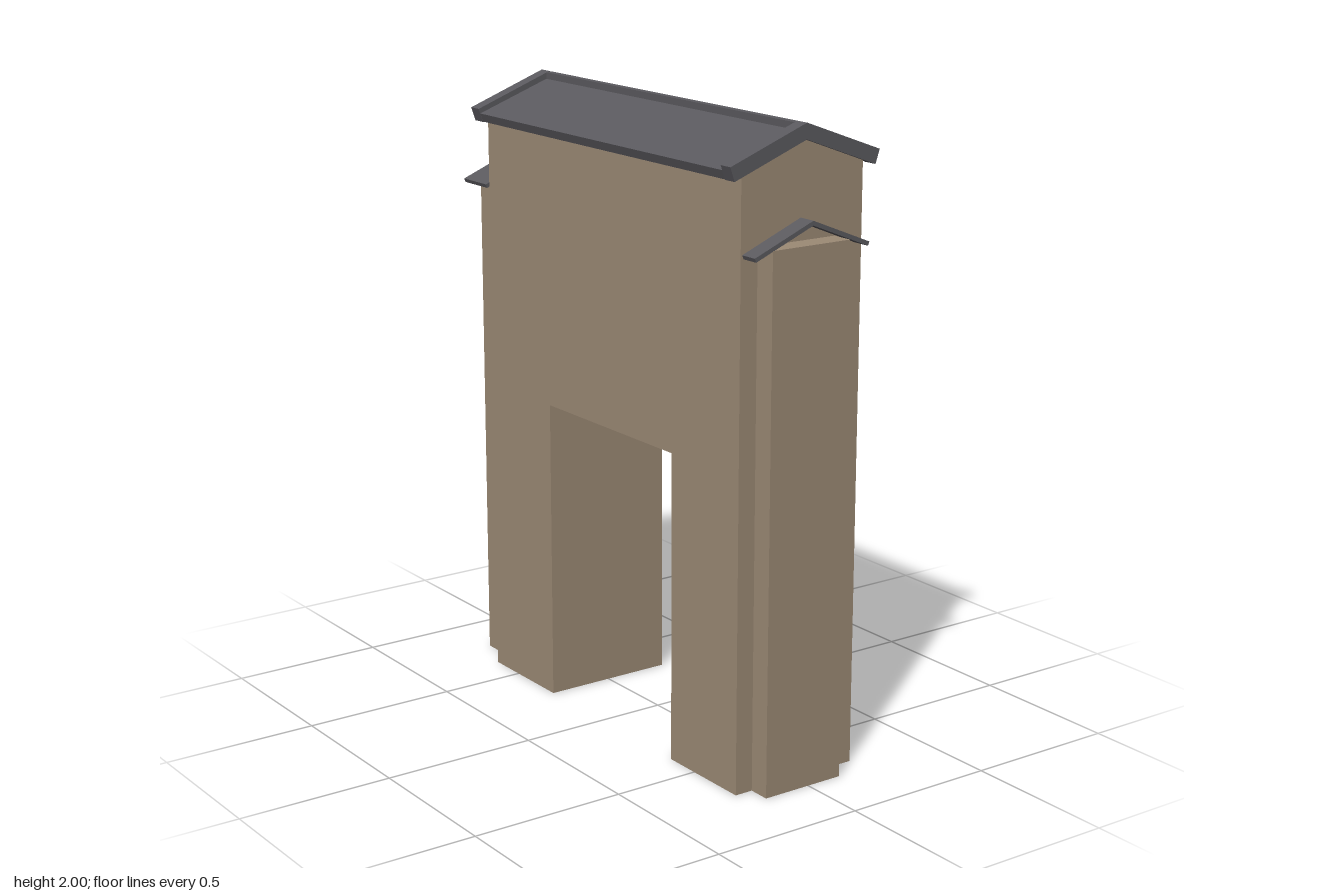
import * as THREE from 'three';

export function createModel() {
  const group = new THREE.Group();
  const plaster = new THREE.MeshStandardMaterial({ color: 0x9c8a75 });
  plaster.name = 'tan plaster';
  const slate = new THREE.MeshStandardMaterial({ color: 0x5b5a5f });
  slate.name = 'grey slate';

  const add = (name, geometry, material) => {
    const mesh = new THREE.Mesh(geometry, material);
    mesh.name = name;
    group.add(mesh);
  };

  // Box given by its lower and upper bounds
  const box = (name, material, [x0, x1], [y0, y1], [z0, z1]) => {
    const g = new THREE.BoxGeometry(x1 - x0, y1 - y0, z1 - z0);
    g.translate((x0 + x1) / 2, (y0 + y1) / 2, (z0 + z1) / 2);
    add(name, g, material);
  };

  // Cross-section of [z, y] points extruded along x
  const alongX = (name, material, [x0, x1], points) => {
    const shape = new THREE.Shape(points.map(([z, y]) => new THREE.Vector2(-z, y)));
    const g = new THREE.ExtrudeGeometry(shape, { depth: x1 - x0, bevelEnabled: false });
    g.rotateY(Math.PI / 2);
    // rotation maps shape x to -z and depth to +x
    g.translate(x0, 0, 0);
    add(name, g, material);
  };

  // Folded roof slab: ridge and eave points of the top and the underside
  const roof = (name, range, zc, [ridgeTop, ridgeLow], [topZ, topY], [lowZ, lowY]) =>
    alongX(name, slate, range, [
      [zc + lowZ, lowY], [zc + topZ, topY], [zc, ridgeTop],
      [zc - topZ, topY], [zc - lowZ, lowY], [zc, ridgeLow],
    ]);

  // Gatehouse: two piers and a gabled block over the opening
  const gable = (y0) => [[-0.22, y0], [0.22, y0], [0.22, 1.872], [0, 1.954], [-0.22, 1.872]];
  alongX('rightPier', plaster, [-0.63, -0.285], gable(0));
  alongX('leftPier', plaster, [0.38, 0.71], gable(0));
  alongX('lintelWall', plaster, [-0.285, 0.38], gable(0.985));

  // Lower flanking walls
  box('rightWing', plaster, [-0.78, -0.63], [0, 1.66], [-0.12, 0.16]);
  box('leftWing', plaster, [0.71, 0.78], [0, 1.66], [-0.12, 0.16]);

  // Main roof with raised verges and a ridge cap
  roof('mainRoof', [-0.605, 0.68], 0, [1.98, 1.952], [0.264, 1.885], [0.254, 1.858]);
  for (const [name, range] of [['rightVerge', [-0.65, -0.605]], ['leftVerge', [0.68, 0.725]]]) {
    roof(name, range, 0, [2, 1.952], [0.27, 1.9], [0.255, 1.857]);
  }
  box('ridgeCap', slate, [-0.605, 0.68], [1.96, 1.997], [-0.012, 0.012]);

  // Thin roofs over the flanking walls
  for (const [name, range] of [['rightWingRoof', [-0.78, -0.645]], ['leftWingRoof', [0.722, 0.78]]]) {
    roof(name, range, 0.016, [1.73, 1.716], [0.208, 1.646], [0.203, 1.634]);
  }

  return group;
}
